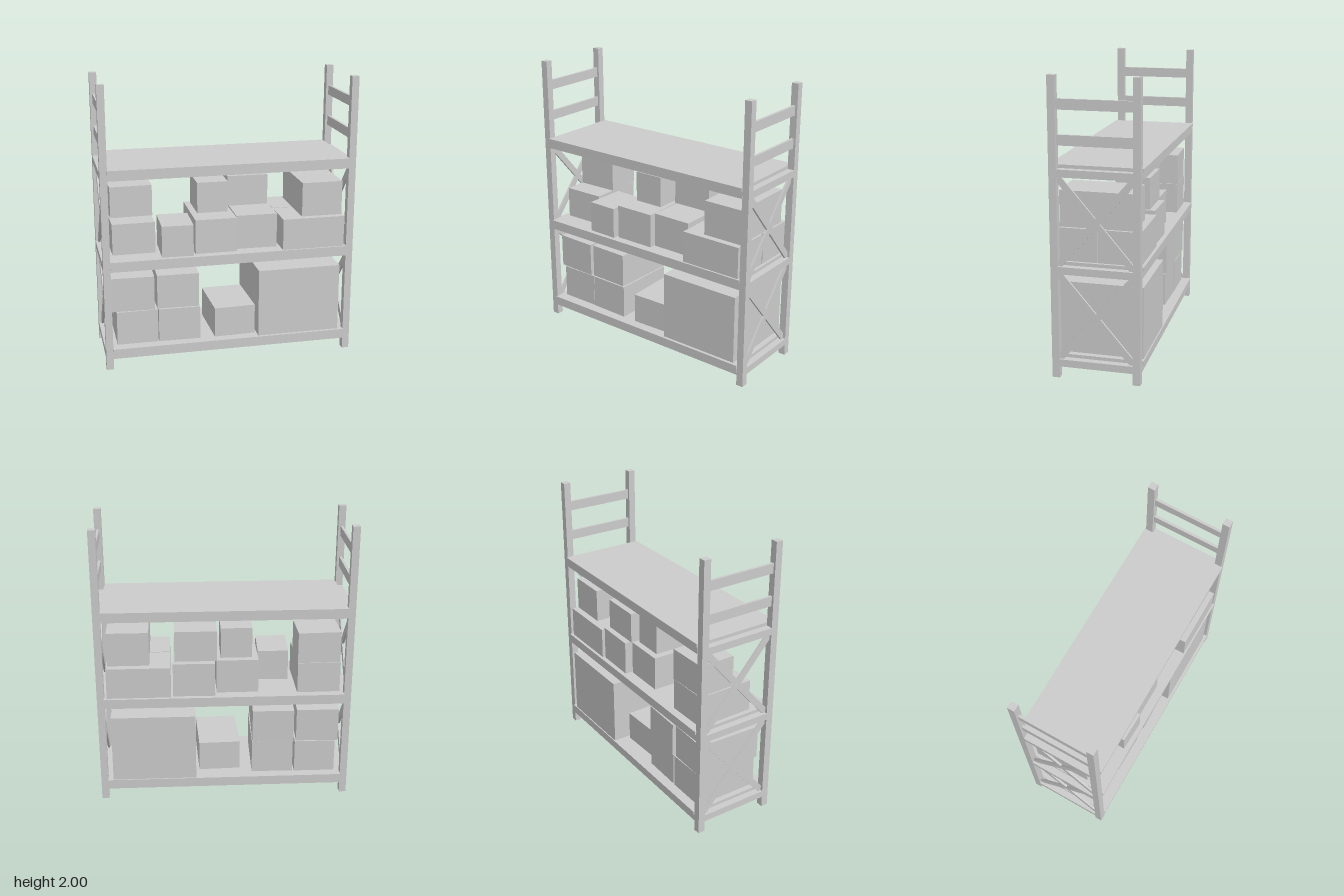
import * as THREE from 'three';

const material = new THREE.MeshStandardMaterial({ color: 0xcccccc });

// Box given by its extents on each axis
function block(name, [x0, x1], [y0, y1], [z0, z1], yaw = 0) {
  const mesh = new THREE.Mesh(new THREE.BoxGeometry(x1 - x0, y1 - y0, z1 - z0), material);
  mesh.name = name;
  mesh.position.set((x0 + x1) / 2, (y0 + y1) / 2, (z0 + z1) / 2);
  mesh.rotation.y = yaw;
  return mesh;
}

// Flat diagonal bar with ends cut flush to the panel corners
function brace(x, y0, y1, dir) {
  const a = 0.25, w = 0.037;
  const s = new THREE.Shape([
    [-a, y0], [-a + w * 0.75, y0], [a, y1 - w], [a, y1], [a - w * 0.75, y1], [-a, y0 + w],
  ].map(([z, y]) => new THREE.Vector2(z, y)));
  const geo = new THREE.ExtrudeGeometry(s, { depth: 0.015, bevelEnabled: false });
  geo.translate(0, 0, -0.0075);
  const mesh = new THREE.Mesh(geo, material);
  mesh.name = 'crossBrace';
  mesh.rotation.y = dir * Math.PI / 2;
  mesh.position.x = x;
  return mesh;
}

export function createModel() {
  const rack = new THREE.Group();
  rack.name = 'storageRack';
  const levels = [0.08, 0.72, 1.36];

  // Shelf decks with front and back beams
  for (const y of levels) {
    const shelf = new THREE.Group();
    shelf.name = 'shelf';
    shelf.add(block('deck', [-0.84, 0.84], [y + 0.05, y + 0.073], [-0.308, 0.308]));
    for (const z of [-0.275, 0.275])
      shelf.add(block('longBeam', [-0.84, 0.84], [y, y + 0.05], [z - 0.025, z + 0.025]));
    rack.add(shelf);
  }

  // End frames: posts, short beams, upper rungs and cross braces
  for (const side of [-1, 1]) {
    const frame = new THREE.Group();
    frame.name = side > 0 ? 'leftEndFrame' : 'rightEndFrame';
    const x = side * 0.863;
    const span = (t) => [x - t / 2, x + t / 2];
    for (const z of [-0.273, 0.273])
      frame.add(block('post', span(0.05), [0, 2], [z - 0.025, z + 0.025]));
    for (const y of levels)
      frame.add(block('shortBeam', span(0.05), [y, y + 0.05], [-0.25, 0.25]));
    for (const y of [1.56, 1.785])
      frame.add(block('rung', span(0.018), [y, y + 0.068], [-0.25, 0.25]));
    for (const y of [0.13, 0.77])
      for (const dir of [-1, 1]) frame.add(brace(x, y, y + 0.59, dir));
    rack.add(frame);
  }

  // Cartons: x range, y range, z range, small turn
  const cartons = [
    // lower shelf
    [[-0.80, -0.51], [0.153, 0.395], [-0.24, 0.23], 0],
    [[-0.50, -0.205], [0.153, 0.395], [-0.235, 0.235], -0.02],
    [[-0.825, -0.525], [0.40, 0.645], [-0.24, 0.23], -0.03],
    [[-0.505, -0.21], [0.40, 0.645], [-0.245, 0.23], -0.03],
    [[-0.11, 0.185], [0.153, 0.37], [-0.18, 0.235], 0.03],
    [[0.205, 0.80], [0.153, 0.645], [-0.30, 0.287], 0],
    // middle shelf, bottom row
    [[-0.81, -0.51], [0.793, 1.015], [-0.25, 0.155], 0.015],
    [[-0.475, -0.255], [0.793, 1.015], [-0.02, 0.275], -0.03],
    [[-0.24, 0.053], [0.793, 1.037], [-0.225, 0.247], 0],
    [[0.062, 0.355], [0.793, 1.037], [-0.275, 0.205], -0.015],
    [[0.375, 0.82], [0.793, 1.015], [0.005, 0.295], 0],
    [[0.375, 0.82], [0.793, 1.015], [-0.287, -0.003], 0],
    // middle shelf, top row
    [[-0.805, -0.507], [1.018, 1.24], [-0.25, 0.005], 0.03],
    [[-0.197, 0.022], [1.04, 1.26], [-0.183, 0.09], 0],
    [[0.05, 0.345], [1.04, 1.26], [-0.235, -0.042], 0],
    [[0.52, 0.81], [1.018, 1.26], [-0.24, 0.255], 0],
  ];
  const load = new THREE.Group();
  load.name = 'cartons';
  for (const [x, y, z, yaw] of cartons) load.add(block('carton', x, y, z, yaw));
  rack.add(load);
  return rack;
}
